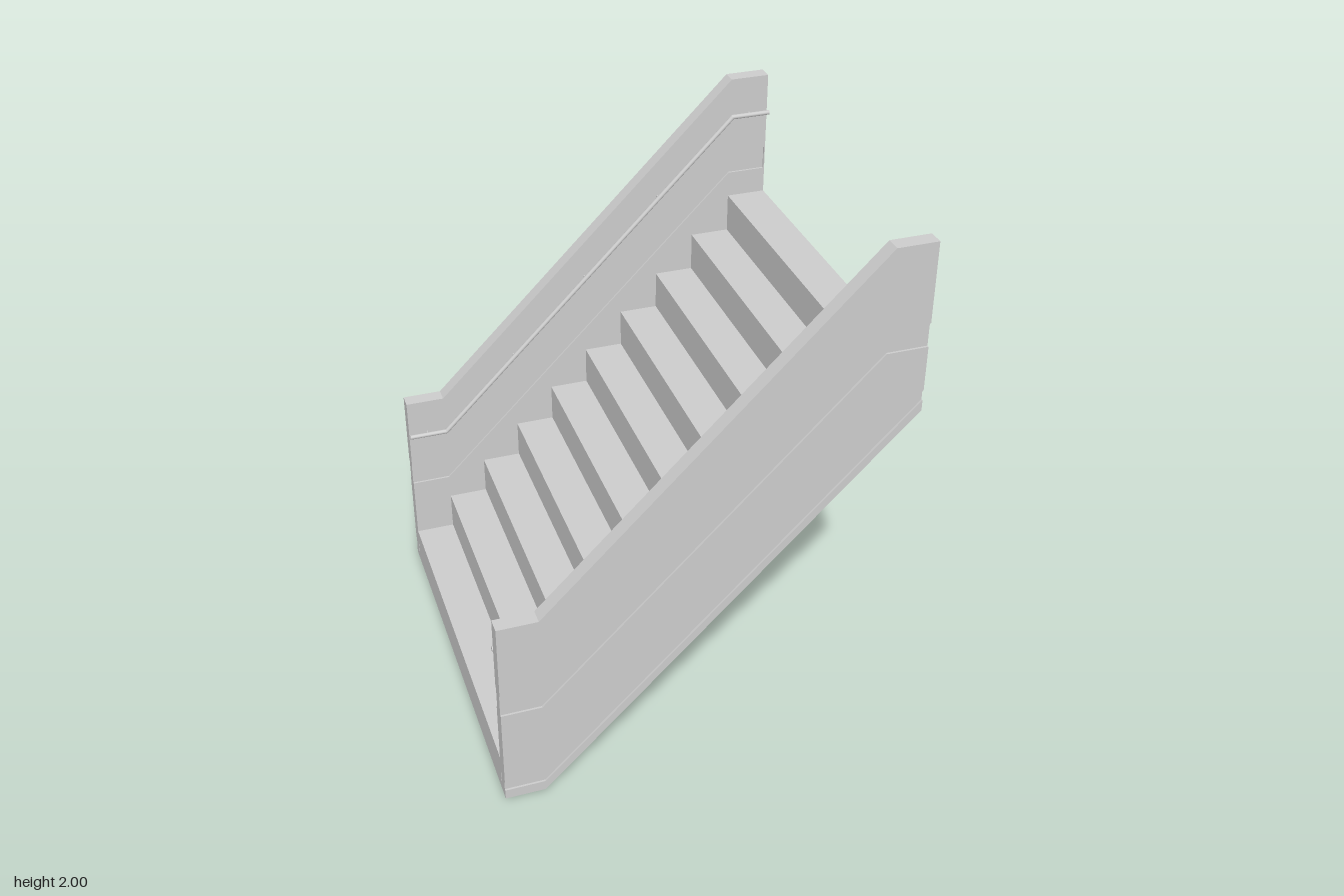
import * as THREE from 'three';

const END = 0.755, BEND = 0.605, STEP = 0.151, STEPS = 10;
const INNER = 0.697, OUTER = 0.755, RECESS = 0.008;

const material = new THREE.MeshStandardMaterial({ color: 0xcccccc, flatShading: true });
const smooth = new THREE.MeshStandardMaterial({ color: 0xcccccc });

// Line parallel to the underside, raised by o
const underLine = (o) => [[-END, o], [-BEND, o], [END, 1.36 + o]];
// Line parallel to the wall top, with flats at both ends
const slopeLine = (o) => [[-END, o], [-BEND, o], [BEND, 1.21 + o], [END, 1.21 + o]];

function add(parent, name, geometry, mat = material) {
  const mesh = new THREE.Mesh(geometry, mat);
  mesh.name = name;
  parent.add(mesh);
  return mesh;
}

// Extrudes an outline in x, y from z0 to z1
function slab(points, z0, z1) {
  const shape = new THREE.Shape(points.map(([x, y]) => new THREE.Vector2(x, y)));
  const geo = new THREE.ExtrudeGeometry(shape, { depth: z1 - z0, bevelEnabled: false });
  return geo.translate(0, 0, z0);
}

const strip = (lower, upper, z0, z1) => slab([...lower, ...upper.slice().reverse()], z0, z1);

// Round bar between two points
function bar(parent, name, a, b, radius) {
  const dir = b.clone().sub(a);
  const mesh = add(parent, name, new THREE.CylinderGeometry(radius, radius, dir.length(), 12), smooth);
  mesh.position.copy(a).add(b).multiplyScalar(0.5);
  mesh.quaternion.setFromUnitVectors(new THREE.Vector3(0, 1, 0), dir.normalize());
}

// Side wall in stacked strips, with a narrow groove and a wide recessed band on both faces
function buildWall(side) {
  const wall = new THREE.Group();
  wall.name = side > 0 ? 'leftWall' : 'rightWall';
  const layers = [
    ['wallBase', underLine(0), underLine(0.04), 0],
    ['wallGroove', underLine(0.04), underLine(0.08), RECESS],
    ['wallPanel', underLine(0.08), slopeLine(0.4), 0],
    ['wallBand', slopeLine(0.4), slopeLine(0.49), RECESS],
    ['wallParapet', slopeLine(0.49), slopeLine(0.79), 0],
  ];
  for (const [name, lower, upper, inset] of layers) {
    const a = side * (INNER + inset), b = side * (OUTER - inset);
    add(wall, name, strip(lower, upper, Math.min(a, b), Math.max(a, b)));
  }
  // The band of the right wall is closed at its upper end
  if (side < 0) {
    const cap = add(wall, 'bandEndCap', new THREE.BoxGeometry(0.004, 0.09, OUTER - INNER));
    cap.position.set(END - 0.002, 1.655, side * (INNER + OUTER) / 2);
  }
  return wall;
}

// Handrail with elbows and short wall brackets
function buildHandrail(side) {
  const rail = new THREE.Group();
  rail.name = side > 0 ? 'leftHandrail' : 'rightHandrail';
  const z = side * 0.675, radius = 0.009;
  const points = slopeLine(0.645).map(([x, y]) => new THREE.Vector3(x, y, z));
  for (let i = 0; i < 3; i++) bar(rail, 'railBar', points[i], points[i + 1], radius);
  for (const p of points.slice(1, 3)) {
    add(rail, 'railElbow', new THREE.SphereGeometry(radius, 12, 8), smooth).position.copy(p);
  }
  for (const x of [-0.68, -0.305, 0, 0.305, 0.68]) {
    const y = 1.25 + THREE.MathUtils.clamp(x, -BEND, BEND);
    bar(rail, 'railBracket', new THREE.Vector3(x, y, z), new THREE.Vector3(x, y, side * (INNER + 0.002)), 0.004);
  }
  return rail;
}

export function createModel() {
  const model = new THREE.Group();
  model.name = 'staircase';

  // Solid flight of steps with a sloping underside
  const outline = underLine(0);
  for (let i = STEPS; i > 0; i--) {
    const x = -END + i * STEP;
    outline.push([x, i * STEP], [x - STEP, i * STEP]);
  }
  add(model, 'steps', slab(outline, -INNER, INNER));

  for (const side of [1, -1]) model.add(buildWall(side), buildHandrail(side));
  return model;
}
